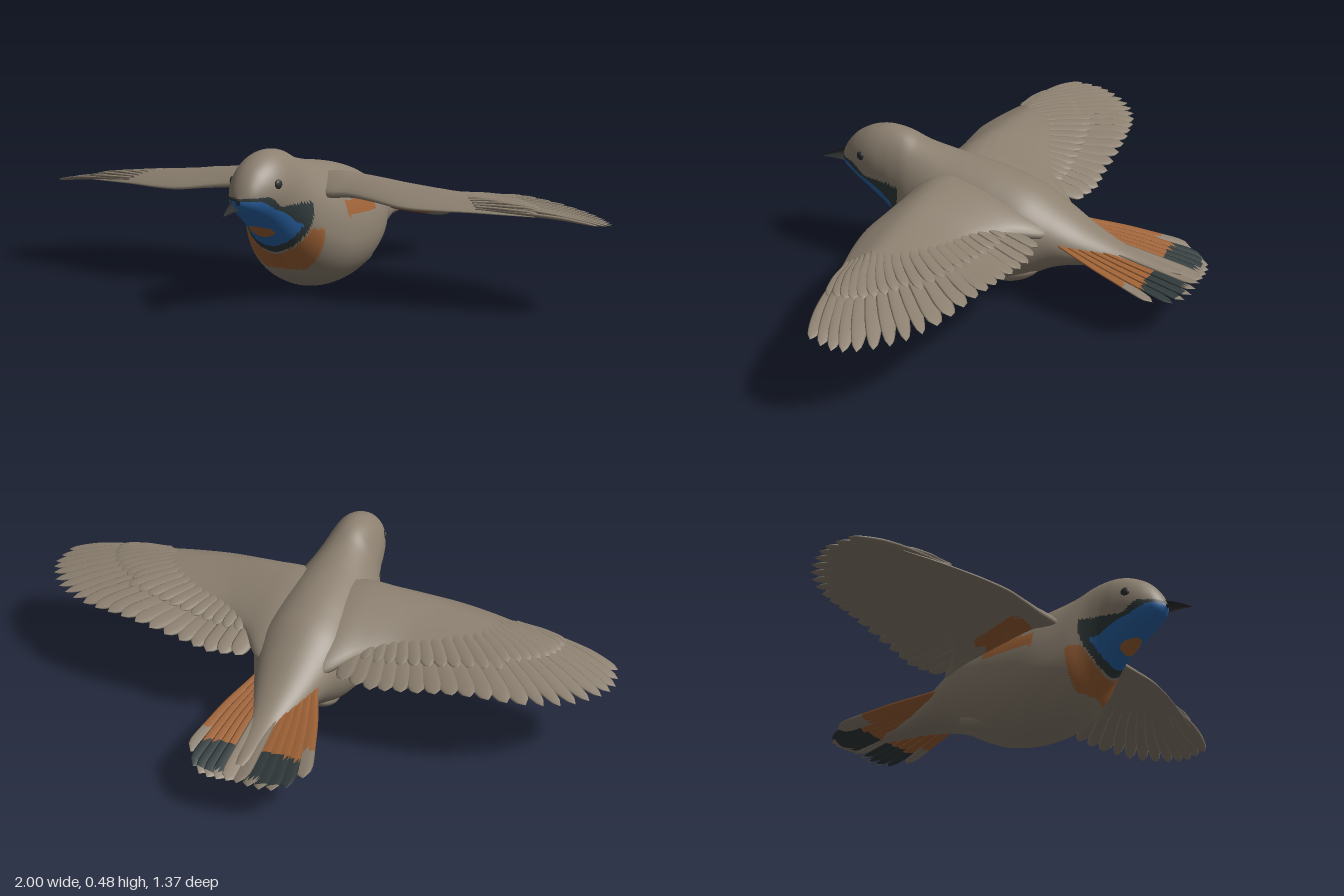
import * as THREE from 'three';

const mat = (name, color) => Object.assign(new THREE.MeshStandardMaterial({ color }), { name });
const lerp = THREE.MathUtils.lerp;
const smooth = THREE.MathUtils.smoothstep;

// Smooth lookup through rows of [position, value, value...], positions ascending.
function table(rows) {
  const size = rows[0].length - 1;
  const curve = new THREE.CubicInterpolant(
    rows.map((r) => r[0]), rows.flatMap((r) => r.slice(1)), size, new Float32Array(size));
  return (t) => [...curve.evaluate(t)];
}

// Closed loft: point(u, angle) gives the skin, paint(x, y, z) picks the material of each face.
function loft(name, nu, nv, point, mats, paint = () => 0, mirror = false) {
  const pos = [];
  const lists = mats.map(() => []);
  for (let i = 0; i <= nu; i++) {
    for (let j = 0; j < nv; j++) pos.push(...point(i / nu, (j / nv) * Math.PI * 2));
  }
  const mid = (ids, k) => ids.reduce((s, n) => s + pos[n * 3 + k], 0) / ids.length;
  for (let i = 0; i < nu; i++) {
    for (let j = 0; j < nv; j++) {
      const a = i * nv + j, b = a + nv, d = i * nv + ((j + 1) % nv), c = d + nv;
      for (const t of [[a, b, d], [b, c, d]]) {
        const list = lists[paint(mid(t, 0), mid(t, 1), mid(t, 2))];
        list.push(...(mirror ? [t[0], t[2], t[1]] : t));
      }
    }
  }
  const geo = new THREE.BufferGeometry();
  geo.setAttribute('position', new THREE.Float32BufferAttribute(pos, 3));
  geo.setIndex(lists.flat());
  let start = 0;
  lists.forEach((l, m) => { geo.addGroup(start, l.length, m); start += l.length; });
  if (mirror) geo.scale(-1, 1, 1);
  geo.computeVertexNormals();
  const mesh = new THREE.Mesh(geo, mats);
  mesh.name = name;
  return mesh;
}

// Rows: z, top y, bottom y, widest y, half width
const bodyAt = table([
  [-0.62, 0.165, 0.155, 0.16, 0.012], [-0.5, 0.185, 0.15, 0.167, 0.036],
  [-0.4, 0.213, 0.145, 0.178, 0.055], [-0.3, 0.255, 0.13, 0.19, 0.09],
  [-0.2, 0.31, 0.1, 0.21, 0.125], [-0.1, 0.363, 0.045, 0.2, 0.165],
  [0, 0.392, 0.01, 0.18, 0.182], [0.1, 0.41, 0, 0.175, 0.185],
  [0.2, 0.425, 0.015, 0.18, 0.175], [0.3, 0.45, 0.07, 0.22, 0.14],
  [0.35, 0.472, 0.125, 0.27, 0.115], [0.4, 0.48, 0.18, 0.325, 0.1],
  [0.45, 0.476, 0.22, 0.35, 0.093], [0.5, 0.458, 0.256, 0.355, 0.081],
  [0.55, 0.422, 0.288, 0.35, 0.058], [0.58, 0.38, 0.31, 0.342, 0.034],
  [0.595, 0.345, 0.33, 0.338, 0.008],
]);

function bodyPoint(z, a) {
  const [top, bottom, yc, w] = bodyAt(z);
  const s = Math.sin(a);
  return [w * Math.cos(a), yc + s * (s > 0 ? top - yc : yc - bottom), z];
}

// Plumage regions: 0 tan, 1 blue throat, 2 dark collar, 3 rust breast and flank
function bodyPaint(x, y, z) {
  const collarBack = y > 0.29 ? 0.335 : lerp(0.375, 0.335, smooth(y, 0.14, 0.29));
  const collarTop = z > 0.48 ? lerp(0.316, 0.352, smooth(z, 0.47, 0.53)) : 0.316;
  if (z > collarBack && y < collarTop) {
    const blueTop = lerp(lerp(0.25, 0.3, smooth(z, 0.37, 0.47)), 0.342, smooth(z, 0.46, 0.57));
    if (z > 0.38 && Math.hypot(x / 0.042, (y - 0.232) / 0.02) < 1) return 3;
    return z > collarBack + 0.025 && y < blueTop ? 1 : 2;
  }
  if (z > 0.298 && y > 0.09 && y < 0.228 && z < collarBack - 0.006) return 3;
  if (z > 0 && z < 0.19 && y > 0.25 && y < 0.3) return 3;
  return 0;
}

// Curved sheet that arm and flight feathers follow
const ridgeAt = table([[0, 0.345], [0.2, 0.355], [0.4, 0.345], [0.6, 0.332], [0.8, 0.309], [1, 0.277]]);
function wingY(x, z) {
  const fall = lerp(0.27, 0.1, smooth(x, 0.25, 0.65));
  return ridgeAt(x)[0] - fall * Math.max(0, 0.17 - z) - 0.32 * Math.max(0, z - 0.19);
}

// Rows: x, leading z, trailing z, half thickness
const armAt = table([
  [0.03, 0.25, -0.2, 0.05], [0.12, 0.272, -0.19, 0.048], [0.2, 0.268, -0.1, 0.036],
  [0.3, 0.283, -0.03, 0.026], [0.4, 0.3, 0, 0.02], [0.5, 0.29, 0.04, 0.015],
  [0.6, 0.268, 0.09, 0.011], [0.7, 0.245, 0.14, 0.008], [0.8, 0.218, 0.19, 0.003],
]);

// Rows: feather position, base x and z, tip x and z, from outermost to innermost
const flightAt = table([
  [0, 0.62, 0.24, 0.985, 0.17], [1, 0.6, 0.22, 1, 0.1], [2, 0.58, 0.2, 0.98, 0.04],
  [3, 0.55, 0.18, 0.93, -0.03], [4, 0.52, 0.16, 0.86, -0.09], [5, 0.48, 0.14, 0.77, -0.135],
  [6, 0.43, 0.12, 0.67, -0.165], [7, 0.38, 0.1, 0.57, -0.185], [8, 0.33, 0.08, 0.47, -0.195],
  [9, 0.28, 0.06, 0.37, -0.2], [10, 0.23, 0.05, 0.28, -0.21], [11, 0.17, 0.04, 0.19, -0.2],
]);

// Flat blade from base to tip [x, z], tilted so that neighbours overlap like tiles
function feather(name, base, tip, half, height, mats, opts = {}) {
  const { tilt = 0.2, taper = 0.75, paint, mirror } = opts;
  const dx = tip[0] - base[0], dz = tip[1] - base[1], len = Math.hypot(dx, dz);
  const side = [-dz / len, dx / len];
  return loft(name, 20, 10, (u, a) => {
    const round = Math.sqrt(Math.max(0, 1 - Math.max(0, (u - taper) / (1 - taper)) ** 2));
    const w = half * lerp(0.5, 1, smooth(u, 0, 0.55)) * round;
    const c = Math.cos(a) * w;
    const x = base[0] + dx * u + side[0] * c, z = base[1] + dz * u + side[1] * c;
    const y = height(base[0] + dx * u, base[1] + dz * u);
    return [x, y + tilt * c + 0.006 * Math.sin(a) * round, z];
  }, mats, paint, mirror);
}

function wing(name, mirror, tan, rust) {
  const g = new THREE.Group();
  g.name = name;
  g.add(loft('wingArm', 48, 28, (u, a) => {
    const x = lerp(0.03, 0.8, u);
    const [lead, trail, t] = armAt(x);
    const z = (lead + trail) / 2 + ((lead - trail) / 2) * Math.cos(a);
    return [x, wingY(x, z) + t * Math.sin(a), z];
  }, [tan, rust], (x, y, z) =>
    (x > 0.12 && x < 0.24 && z > 0.02 && z < 0.19 && y < wingY(x, z) - 0.012 ? 1 : 0), mirror));
  const count = 21;
  for (let i = 0; i < count; i++) {
    const [bx, bz, tx, tz] = flightAt((i / (count - 1)) * 11);
    const primary = i < 9;
    g.add(feather('flightFeather', [bx, bz], [tx, tz], primary ? 0.027 : 0.031, wingY, [tan],
      { taper: primary ? 0.6 : 0.8, mirror }));
    // Shorter covert lying on top
    const k = primary ? 0.5 : 0.6;
    g.add(feather('covertFeather', [bx, bz], [lerp(bx, tx, k), lerp(bz, tz, k)], 0.024,
      (x, z) => wingY(x, z) + 0.006, [tan], { mirror }));
  }
  return g;
}

export function createModel() {
  const tan = mat('tan plumage', 0x8c8070);
  const blue = mat('blue throat', 0x2a65a8);
  const dark = mat('dark plumage', 0x30393a);
  const rust = mat('rust plumage', 0x9e6236);
  const horn = mat('beak and eye', 0x2c2d2e);
  const bird = new THREE.Group();
  bird.name = 'bird';

  bird.add(loft('body', 170, 96, (u, a) => bodyPoint(0.595 - 1.215 * u ** 1.2, a),
    [tan, blue, dark, rust], bodyPaint));

  // Beak, slightly hooked downwards
  bird.add(loft('beak', 16, 16, (u, a) => {
    const r = 0.032 * (1 - u) ** 0.85;
    return [r * Math.cos(a), 0.34 - 0.012 * u - 0.018 * u * u + r * 0.8 * Math.sin(a), 0.565 + 0.117 * u];
  }, [horn]));

  for (const s of [1, -1]) {
    // Eye set into the side of the head
    const eye = new THREE.Mesh(new THREE.SphereGeometry(0.015, 16, 12), horn);
    eye.name = 'eye';
    eye.scale.set(0.5, 1, 1);
    eye.position.set(s * 0.08, 0.386, 0.49);
    eye.rotation.y = -s * 0.3;
    bird.add(eye);
    // Tucked thigh
    const thigh = new THREE.Mesh(new THREE.SphereGeometry(1, 20, 14), tan);
    thigh.name = 'thigh';
    thigh.scale.set(0.045, 0.03, 0.085);
    thigh.position.set(s * 0.075, 0.078, -0.075);
    thigh.rotation.x = 0.35;
    bird.add(thigh);
  }

  const left = wing('leftWing', false, tan, rust);
  const right = wing('rightWing', true, tan, rust);
  right.rotation.y = -0.045;
  bird.add(left, right);

  // Fanned tail: rust bases, dark band, tan tips and tan centre feathers
  const tail = new THREE.Group();
  tail.name = 'tail';
  for (let i = 0; i < 12; i++) {
    const f = (i - 5.5) / 5.5, m = Math.abs(f);
    const paint = (x, y, z) => {
      if (m < 0.1) return 0;
      if (z > -0.535) return m > 0.95 && z < -0.48 ? 0 : 1;
      return z > -0.65 && m < 0.9 ? 2 : 0;
    };
    const height = (x, z) => {
      const t = (-0.2 - z) / 0.49;
      return lerp(0.228, 0.148, Math.min(1, t * 1.1)) - 0.022 * m * t;
    };
    tail.add(feather('tailFeather', [0.085 * f, -0.2], [0.187 * f - 0.008 * m, -0.685 + 0.1 * m ** 4],
      0.029, height, [tan, rust, dark], { tilt: 0.3 * Math.sign(f), taper: 0.86, paint }));
  }
  bird.add(tail);
  return bird;
}
